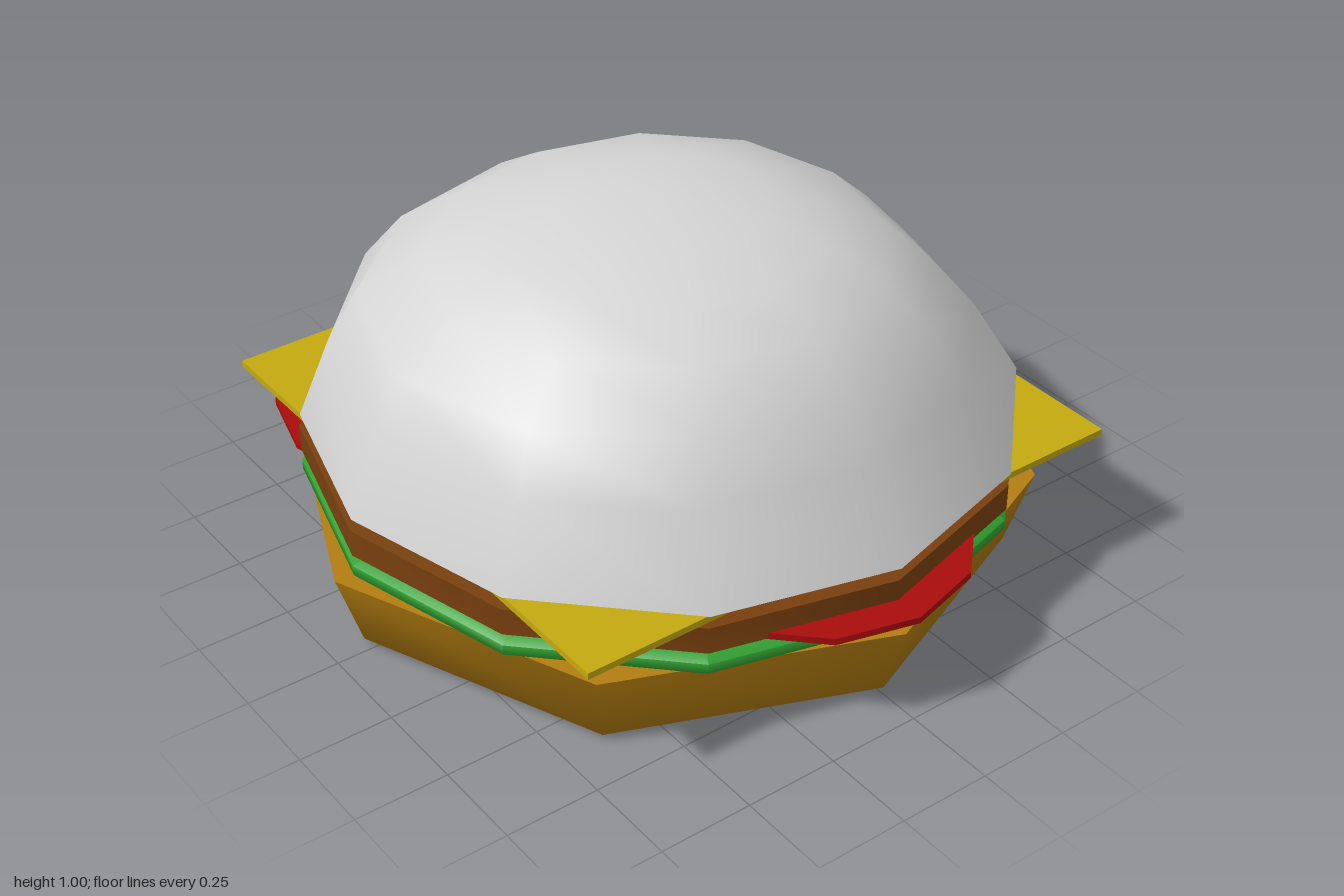
import * as THREE from 'three';
import { mergeVertices, toCreasedNormals } from 'three/addons/utils/BufferGeometryUtils.js';

const mat = (name, color) => {
  const m = new THREE.MeshStandardMaterial({ color });
  m.name = name;
  return m;
};

// Lathe with welded, creased normals
function lathe(points, sides, crease) {
  const g = new THREE.LatheGeometry(points.map(([r, y]) => new THREE.Vector2(r, y)), sides);
  return toCreasedNormals(g, crease);
}

// Lopsided dome: each row is [y, +x, -x, +z, -z] radius, blended around the axis
function domeGeometry() {
  const rows = [
    [0.39, 0, 0, 0, 0],
    [0.39, 0.91, 0.91, 0.91, 0.91],
    [0.40, 0.93, 0.93, 0.93, 0.93],
    [0.61, 0.80, 0.865, 0.84, 0.80],
    [0.75, 0.72, 0.73, 0.78, 0.67],
    [0.86, 0.60, 0.55, 0.62, 0.55],
    [0.93, 0.46, 0.35, 0.46, 0.38],
    [0.97, 0.29, 0.20, 0.26, 0.26],
    [1.00, 0, 0, 0, 0],
  ];
  const sides = 12;
  let g = new THREE.LatheGeometry(rows.map(r => new THREE.Vector2(r[1], r[0])), sides);
  const p = g.attributes.position;
  for (let i = 0; i < p.count; i++) {
    const row = rows[i % rows.length];
    const a = (Math.floor(i / rows.length) % sides) / sides * Math.PI * 2;
    const s = Math.sin(a), c = Math.cos(a);
    const r = s * s * (s > 0 ? row[1] : row[2]) + c * c * (c > 0 ? row[3] : row[4]);
    p.setXYZ(i, r * s, row[0], r * c);
  }
  g.deleteAttribute('uv');
  g.deleteAttribute('normal');
  g = mergeVertices(g, 1e-4);
  g.computeVertexNormals();
  return g;
}

export function createModel() {
  const group = new THREE.Group();
  const bread = mat('golden bread', 0xb37d10);
  const pale = mat('pale bread', 0xd4d4d4);
  const green = mat('lettuce green', 0x30a030);
  const brown = mat('meat brown', 0x783f0e);
  const red = mat('tomato red', 0xa80c0c);
  const yellow = mat('cheese yellow', 0xc4a90f);

  const add = (name, geometry, material, x = 0, y = 0, z = 0) => {
    const mesh = new THREE.Mesh(geometry, material);
    mesh.name = name;
    mesh.position.set(x, y, z);
    group.add(mesh);
  };

  // Eight-sided base, flaring upward
  add('bottomBun', lathe([[0, 0], [0.76, 0], [0.91, 0.02], [0.977, 0.23], [0, 0.23]], 8, 1.2),
    bread, -0.022);

  // Lettuce disc with softened edges
  add('lettuce', lathe([[0, 0.225], [0.91, 0.225], [0.93, 0.235], [0.93, 0.262], [0.9, 0.275], [0, 0.275]], 12, 1.2),
    green, -0.01);

  // Three overlapping tomato slices
  [[0.58, 0], [-0.25, -0.565], [-0.49, 0.39]].forEach(([x, z], i) =>
    add('tomatoSlice' + (i + 1), new THREE.CylinderGeometry(0.42, 0.42, 0.018, 12), red, x, 0.301 - i * 0.0005, z));

  // Meat patty
  add('patty', lathe([[0, 0.295], [0.93, 0.295], [0.93, 0.368], [0, 0.372]], 12, 0.9), brown, -0.01);

  // Square cheese slice
  add('cheese', new THREE.BoxGeometry(1.58, 0.018, 1.59), yellow, -0.01, 0.38, -0.005);

  // Domed top
  add('topBun', domeGeometry(), pale, -0.01, 0, -0.005);

  return group;
}
